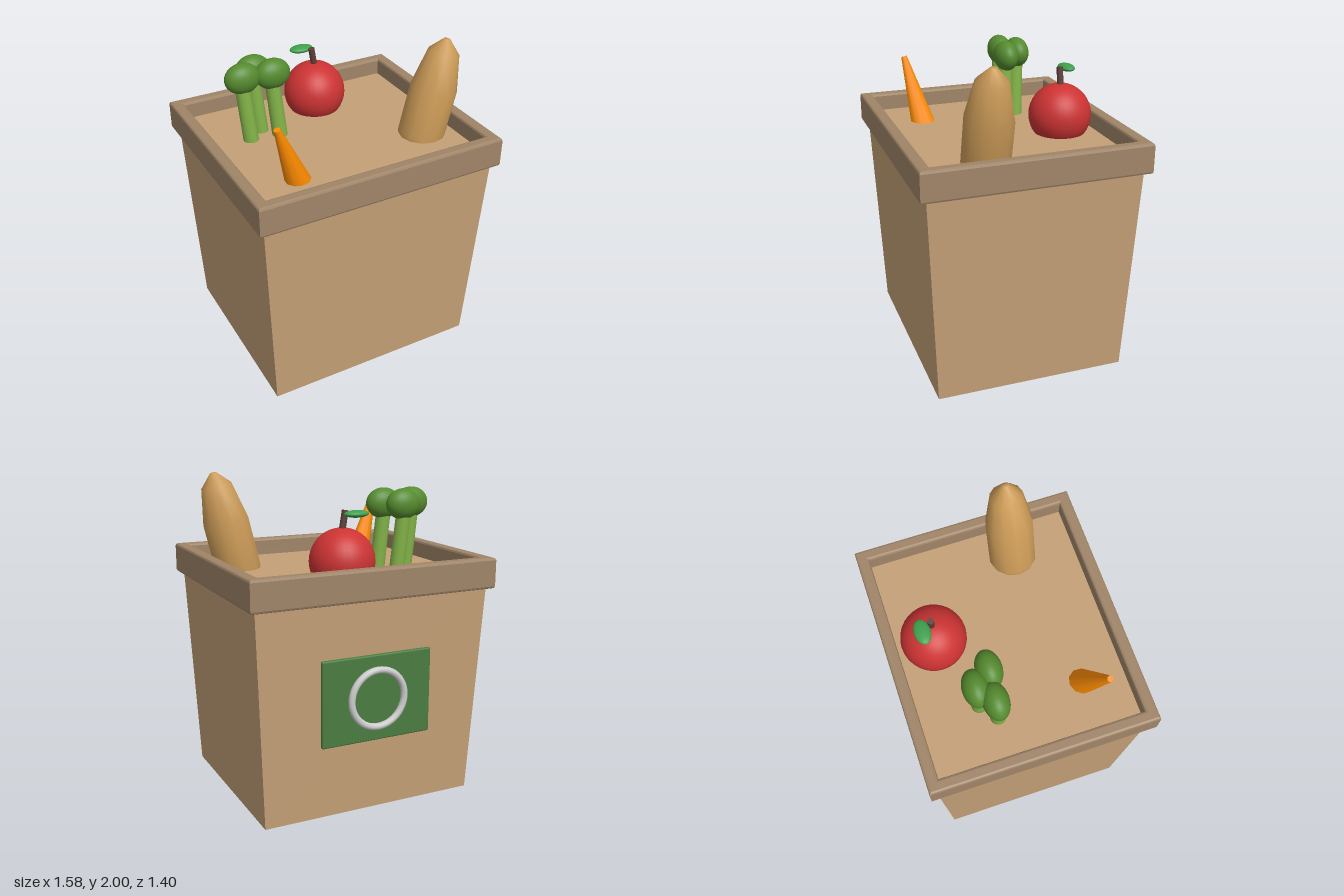
import * as THREE from 'three';
import { RoundedBoxGeometry } from 'three/addons/geometries/RoundedBoxGeometry.js';

const V = (x, y, z) => new THREE.Vector3(x, y, z);

function part(parent, name, geometry, color, position) {
  const mesh = new THREE.Mesh(geometry, new THREE.MeshStandardMaterial({ color }));
  mesh.name = name;
  mesh.position.copy(position);
  parent.add(mesh);
  return mesh;
}

// Tapered round bar between two points
function bar(parent, name, from, to, rFrom, rTo, color, sides = 16) {
  const dir = to.clone().sub(from);
  const geo = new THREE.CylinderGeometry(rTo, rFrom, dir.length(), sides);
  const mesh = part(parent, name, geo, color, from.clone().lerp(to, 0.5));
  mesh.quaternion.setFromUnitVectors(V(0, 1, 0), dir.normalize());
}

function ellipsoid(parent, name, center, rx, ry, rz, color) {
  const geo = new THREE.SphereGeometry(1, 32, 20).scale(rx, ry, rz);
  part(parent, name, geo, color, center);
}

function rectangle(target, w, h) {
  target.moveTo(-w, -h);
  target.lineTo(w, -h);
  target.lineTo(w, h);
  target.lineTo(-w, h);
  target.closePath();
  return target;
}

export function createModel() {
  const model = new THREE.Group();
  model.name = 'groceryBox';
  const midZ = 0.005, floorY = 1.4;

  // Box body, widening towards the top
  const body = new THREE.BoxGeometry(2, floorY, 2);
  const p = body.attributes.position;
  for (let i = 0; i < p.count; i++) {
    const top = p.getY(i) > 0;
    p.setX(i, p.getX(i) * (top ? 0.757 : 0.695));
    p.setZ(i, p.getZ(i) * (top ? 0.657 : 0.6));
  }
  body.computeVertexNormals();
  part(model, 'boxBody', body, 0xc4a077, V(0, floorY / 2, midZ));

  // Bevelled rim frame
  const frame = rectangle(new THREE.Shape(), 0.777, 0.68);
  frame.holes.push(rectangle(new THREE.Path(), 0.733, 0.636));
  const rim = new THREE.ExtrudeGeometry(frame, {
    depth: 0.16, bevelThickness: 0.015, bevelSize: 0.015, bevelSegments: 2,
  }).rotateX(-Math.PI / 2);
  part(model, 'rim', rim, 0xa08568, V(0, 1.335, midZ));

  // Panel and ring on the back
  part(model, 'backPanel', new RoundedBoxGeometry(0.72, 0.53, 0.028, 2, 0.01), 0x4a7c3f, V(0, 0.732, -0.654));
  part(model, 'backRing', new THREE.TorusGeometry(0.175, 0.021, 12, 48), 0xffffff, V(0, 0.732, -0.678));

  // Apple with stem and leaf
  const apple = new THREE.Group();
  apple.name = 'apple';
  ellipsoid(apple, 'appleFruit', V(0.099, 1.512, -0.392), 0.197, 0.197, 0.197, 0xcc3333);
  bar(apple, 'appleStem', V(0.105, 1.66, -0.392), V(0.08, 1.81, -0.392), 0.02, 0.02, 0x5d4037);
  ellipsoid(apple, 'appleLeaf', V(0.039, 1.793, -0.455), 0.078, 0.022, 0.048, 0x3fa04d);
  model.add(apple);

  // Three broccoli florets, leaning slightly
  const broccoli = new THREE.Group();
  broccoli.name = 'broccoli';
  for (const [x, z] of [[-0.48, -0.195], [-0.378, -0.277], [-0.294, -0.174]]) {
    ellipsoid(broccoli, 'floretHead', V(x, 1.812, z), 0.113, 0.095, 0.076, 0x558b2f);
    bar(broccoli, 'floretStem', V(x + 0.03, 1.36, z + 0.022), V(x - 0.008, 1.8, z), 0.048, 0.045, 0x82b348);
  }
  model.add(broccoli);

  // Carrot, thin end up
  bar(model, 'carrot', V(-0.368, 1.3, 0.352), V(-0.555, 1.797, 0.44), 0.09, 0.019, 0xff8c00, 10);

  // Bread loaf turned from a tapering profile measured down from the tip
  const profile = [[0, 0], [0, 0.02], [0.083, 0.098], [0.31, 0.146], [0.62, 0.147], [0.74, 0.11], [0.74, 0]];
  const loaf = new THREE.LatheGeometry(
    profile.map(([down, r]) => new THREE.Vector2(r, -down)).reverse(), 12);
  part(model, 'breadLoaf', loaf, 0xcd9c58, V(0.665, 1.998, 0.245)).rotation.z = -0.237;

  return model;
}
